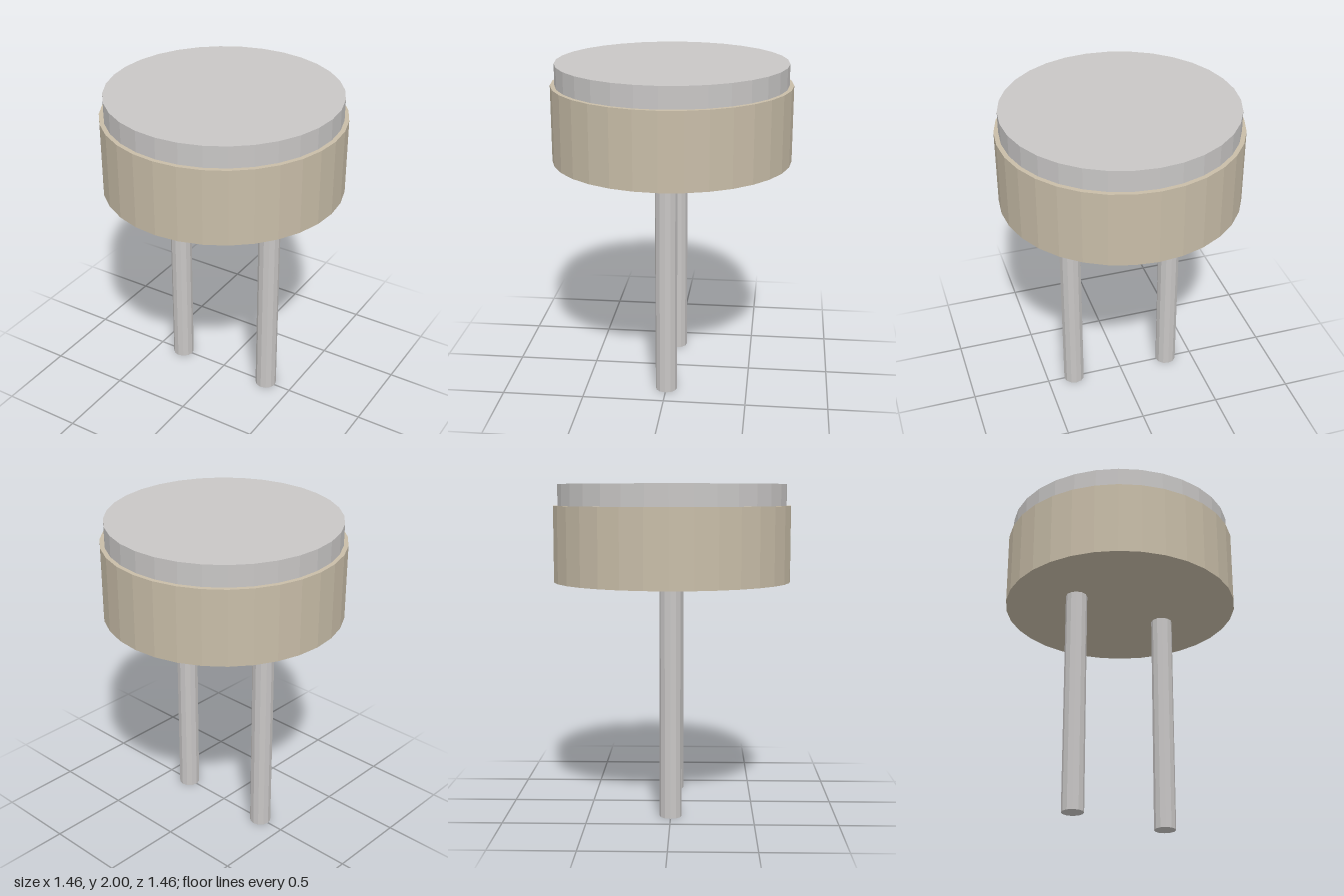
import * as THREE from 'three';

export function createModel() {
  const model = new THREE.Group();
  const metal = new THREE.MeshStandardMaterial({ color: 0xc8c6c5, flatShading: true });
  metal.name = 'silver metal';
  const beige = new THREE.MeshStandardMaterial({ color: 0xc8bda8, flatShading: true });
  beige.name = 'beige casing';

  // Upright cylinder spanning y0 to y1
  const addCylinder = (name, radius, y0, y1, x, sides, material) => {
    const mesh = new THREE.Mesh(new THREE.CylinderGeometry(radius, radius, y1 - y0, sides), material);
    mesh.name = name;
    mesh.position.set(x, (y0 + y1) / 2, 0);
    model.add(mesh);
  };

  // Casing with a slightly narrower metal cap
  addCylinder('casing', 0.73, 1.406, 1.87, 0, 32, beige);
  addCylinder('cap', 0.703, 1.87, 2, 0, 32, metal);

  // Pair of pins below the casing
  addCylinder('leftPin', 0.067, 0, 1.406, 0.324, 12, metal);
  addCylinder('rightPin', 0.067, 0, 1.406, -0.324, 12, metal);

  return model;
}
